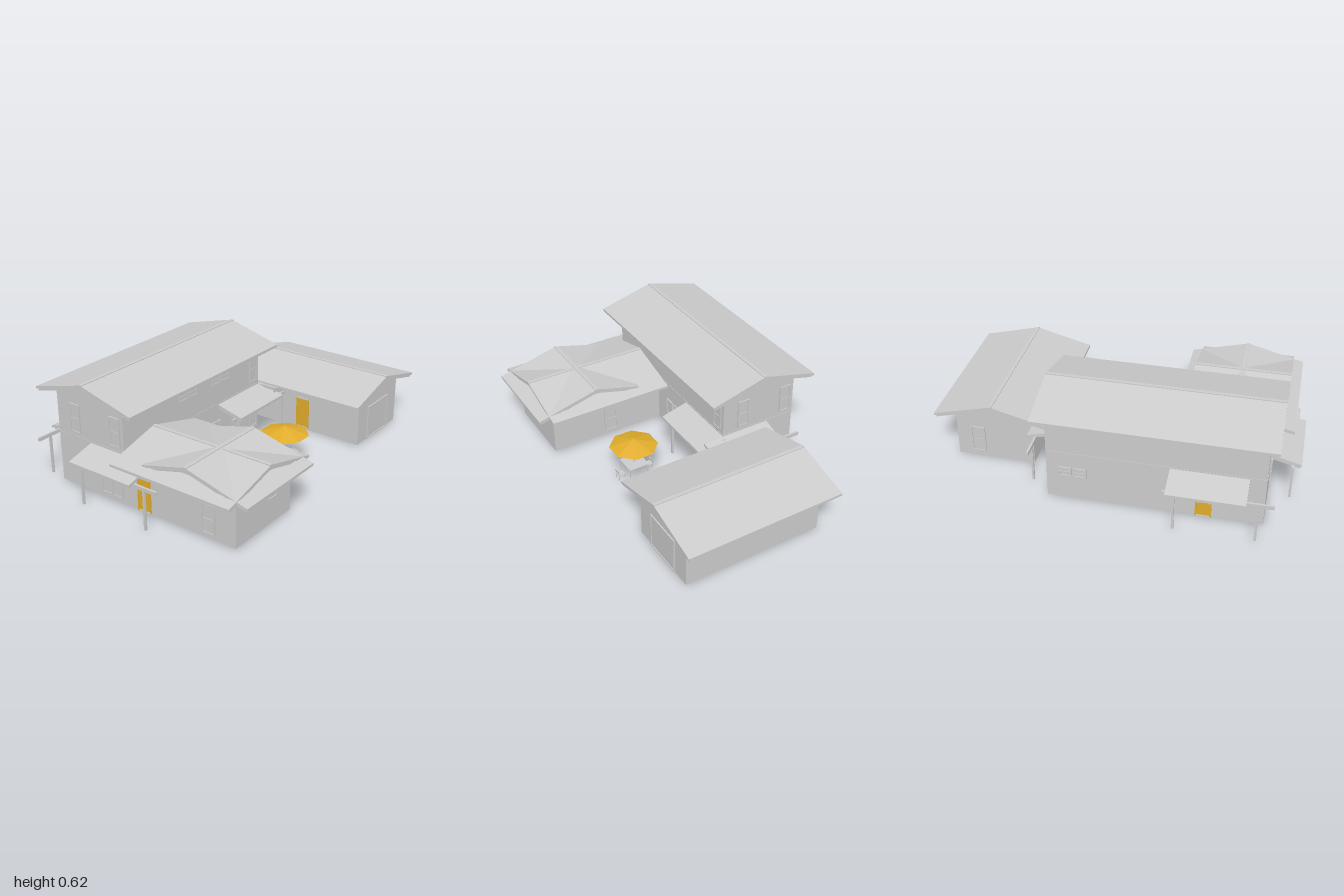
import * as THREE from 'three';

const grey = new THREE.MeshStandardMaterial({ color: 0xcccccc, flatShading: true });
const yellow = new THREE.MeshStandardMaterial({ color: 0xe0ac2b, flatShading: true, side: THREE.DoubleSide });
const PITCH = 0.26;

function add(parent, name, geometry, x = 0, y = 0, z = 0, material = grey) {
  const mesh = new THREE.Mesh(geometry, material);
  mesh.name = name;
  mesh.position.set(x, y, z);
  parent.add(mesh);
  return mesh;
}

const box = (parent, name, w, h, d, x, y, z, material) =>
  add(parent, name, new THREE.BoxGeometry(w, h, d), x, y, z, material);

function group(parent, name, x = 0, y = 0, z = 0, turn = 0) {
  const g = new THREE.Group();
  g.name = name;
  g.position.set(x, y, z);
  g.rotation.y = turn * Math.PI / 2;
  parent.add(g);
  return g;
}

function extrude(points, depth) {
  const shape = new THREE.Shape(points.map(p => new THREE.Vector2(...p)));
  return new THREE.ExtrudeGeometry(shape, { depth, bevelEnabled: false });
}

// Folded roof section: two slopes meeting at the ridge on x = 0
function chevron(left, right, top, thick, depth) {
  const l = top - left * PITCH, r = top - right * PITCH;
  return extrude([[-left, l - thick], [0, top - thick], [right, r - thick],
    [right, r], [0, top], [-left, l]], depth);
}

// Gable roof with rafters, ridge along local z from z0 to z1
function gableRoof(parent, name, left, right, top, z0, z1) {
  const g = group(parent, name);
  add(g, 'roofSlopes', chevron(left, right, top, 0.014, z1 - z0), 0, 0, z0);
  const n = Math.round((z1 - z0) / 0.05);
  const rafter = chevron(left - 0.012, right - 0.012, top - 0.014, 0.013, 0.009);
  for (let i = 0; i <= n; i++) {
    add(g, 'rafter', rafter, 0, 0, z0 + 0.006 + (z1 - z0 - 0.021) * i / n);
  }
  box(g, 'ridgeCap', 0.02, 0.005, z1 - z0, 0, top - 0.001, (z0 + z1) / 2);
}

// Walls with a gable at both ends, filled up to the roof
function gableWalls(parent, name, left, right, top, base, z0, z1) {
  const t = top - 0.008;
  add(parent, name, extrude([[-left, base], [right, base], [right, t - right * PITCH],
    [0, t], [-left, t - left * PITCH]], z1 - z0), 0, 0, z0);
}

// Framed opening facing local +z, its origin at the bottom centre
function opening(parent, name, x, y, z, turn, w, h, material = grey, bars = true) {
  const g = group(parent, name, x, y, z, turn);
  const f = 0.007;
  for (const s of [-1, 1]) {
    box(g, 'jamb', f, h, 0.01, s * (w - f) / 2, h / 2, 0.002, material);
    box(g, 'rail', w, f, 0.01, 0, s > 0 ? h - f / 2 : f / 2, 0.002);
  }
  box(g, 'panel', w - f, h - f, 0.003, 0, h / 2, 0.001, material);
  if (bars) box(g, 'crossBar', w - f, 0.004, 0.007, 0, h / 2, 0.002);
}

// Lean-to porch: wall on z = 0, running along +x and reaching out to +z
function porch(parent, name, x, z, turn) {
  const g = group(parent, name, x, 0, z, turn);
  box(g, 'beam', 0.56, 0.02, 0.012, 0.28, 0.226, 0.115);
  for (const u of [0.06, 0.48]) box(g, 'post', 0.012, 0.22, 0.012, u, 0.11, 0.115);
  const slope = (drop, out, width) => extrude([[0, 0.288 - drop], [out, 0.288 - drop - out * PITCH],
    [out, 0.273 - drop - out * PITCH], [0, 0.273 - drop]].reverse(), width);
  const roof = add(g, 'porchRoof', slope(0, 0.158, 0.405), 0.425, 0, 0);
  roof.rotation.y = -Math.PI / 2;
  for (let i = 0; i < 8; i++) {
    const r = add(g, 'porchRafter', slope(0.014, 0.15, 0.008), 0.034 + i * 0.054, 0, 0);
    r.rotation.y = -Math.PI / 2;
  }
  return g;
}

function chair(parent, angle) {
  const g = group(parent, 'chair', 0.088 * Math.sin(angle), 0, 0.088 * Math.cos(angle));
  g.rotation.y = angle;
  box(g, 'seat', 0.04, 0.004, 0.04, 0, 0.03, 0);
  box(g, 'backRest', 0.04, 0.012, 0.003, 0, 0.05, 0.019);
  for (const sx of [-1, 1]) for (const sz of [-1, 1]) {
    const h = sz > 0 ? 0.056 : 0.03;
    box(g, 'chairLeg', 0.003, h, 0.003, sx * 0.018, h / 2, sz * 0.018);
  }
}

export function createModel() {
  const model = new THREE.Group();
  model.name = 'house';

  // Two-storey main block
  const main = group(model, 'mainBlock', -0.3175);
  gableWalls(main, 'mainWalls', 0.2275, 0.2275, 0.625, 0.01, -0.3, 0.84);
  gableRoof(main, 'mainRoof', 0.325, 0.325, 0.622, -0.35, 0.89);
  box(main, 'floorBand', 0.459, 0.005, 1.144, 0, 0.295, 0.27);

  // Single-storey wing with two crossing gables
  const wing = group(model, 'wing', 0, 0, 0.615, 1);
  gableWalls(wing, 'wingWalls', 0.225, 0.225, 0.37, 0.01, -0.1, 0.6);
  gableRoof(wing, 'wingRoof', 0.33, 0.33, 0.37, -0.09, 0.64);
  const cross = group(model, 'crossGable', 0.34);
  gableWalls(cross, 'crossWalls', 0.2, 0.2599, 0.375, 0.01, 0.3901, 0.8399);
  gableRoof(cross, 'crossRoof', 0.27, 0.36, 0.375, 0.34, 0.888);

  // Detached garage
  const garage = group(model, 'garage', 0, 0, -0.672, 1);
  gableWalls(garage, 'garageWalls', 0.22, 0.22, 0.37, 0, -0.29, 0.505);
  gableRoof(garage, 'garageRoof', 0.327, 0.327, 0.37, -0.34, 0.556);
  opening(model, 'garageDoor', 0.505, 0, -0.672, 1, 0.23, 0.205, grey, false);
  opening(model, 'garageSideDoor', 0.13, 0.01, -0.452, 0, 0.085, 0.19, yellow, false);
  opening(model, 'garageWindow', -0.29, 0.035, -0.77, 3, 0.08, 0.16);

  // Porches on the four sides of the main block
  const front = porch(model, 'frontPorch', -0.34, 0.84, 0);
  porch(model, 'courtPorch', -0.09, 0.1, 1);
  porch(model, 'backPorch', 0.05, -0.3, 2);
  const side = porch(model, 'sidePorch', -0.545, 0.33, 3);
  opening(front, 'frontDoor', 0.376, 0.01, 0, 0, 0.085, 0.19, yellow, false);
  for (const u of [0.125, 0.197]) opening(front, 'frontWindow', u, 0.035, 0, 0, 0.07, 0.16);
  opening(side, 'sideDoor', 0.2, 0.01, 0, 0, 0.085, 0.19, yellow, false);

  // Upper windows on both gable ends
  for (const x of [-0.42, -0.145]) {
    opening(model, 'upperWindow', x, 0.32, 0.84, 0, 0.07, 0.16);
    opening(model, 'upperWindow', -0.635 - x, 0.32, -0.3, 2, 0.07, 0.16);
  }
  // Courtyard windows, tall below and low above
  for (const y of [0.035, 0.32]) opening(model, 'courtWindow', -0.09, y, -0.245, 1, 0.07, 0.16);
  for (const z of [-0.14, -0.06, 0.1, 0.18, 0.26]) opening(model, 'courtDoor', -0.09, 0.02, z, 1, 0.07, 0.175);
  for (const z of [0.02, 0.1, 0.3, 0.38]) opening(model, 'highWindow', -0.09, 0.42, z, 1, 0.07, 0.055);
  for (const z of [-0.2, -0.12]) opening(model, 'lowWindow', -0.545, 0.15, z, 3, 0.07, 0.055);
  // Wing windows
  opening(model, 'wingWindow', 0.44, 0.035, 0.84, 0, 0.08, 0.16);
  opening(model, 'wingWindow', 0.24, 0.035, 0.39, 2, 0.08, 0.16);
  opening(model, 'wingWindow', 0.6, 0.15, 0.55, 1, 0.08, 0.06);

  // Courtyard table, chairs and sunshade
  const patio = group(model, 'patioSet', 0.3, 0, -0.005);
  const shade = new THREE.ConeGeometry(0.135, 0.042, 8, 1, true);
  shade.rotateY(Math.PI / 8);
  add(patio, 'sunshade', shade, 0, 0.214, 0, yellow);
  add(patio, 'pole', new THREE.CylinderGeometry(0.003, 0.003, 0.24, 8), 0, 0.12, 0);
  box(patio, 'tableTop', 0.12, 0.005, 0.12, 0, 0.075, 0);
  for (const sx of [-1, 1]) for (const sz of [-1, 1])
    box(patio, 'tableLeg', 0.004, 0.073, 0.004, sx * 0.055, 0.0365, sz * 0.055);
  for (let i = 0; i < 4; i++) chair(patio, i * Math.PI / 2);

  return model;
}
